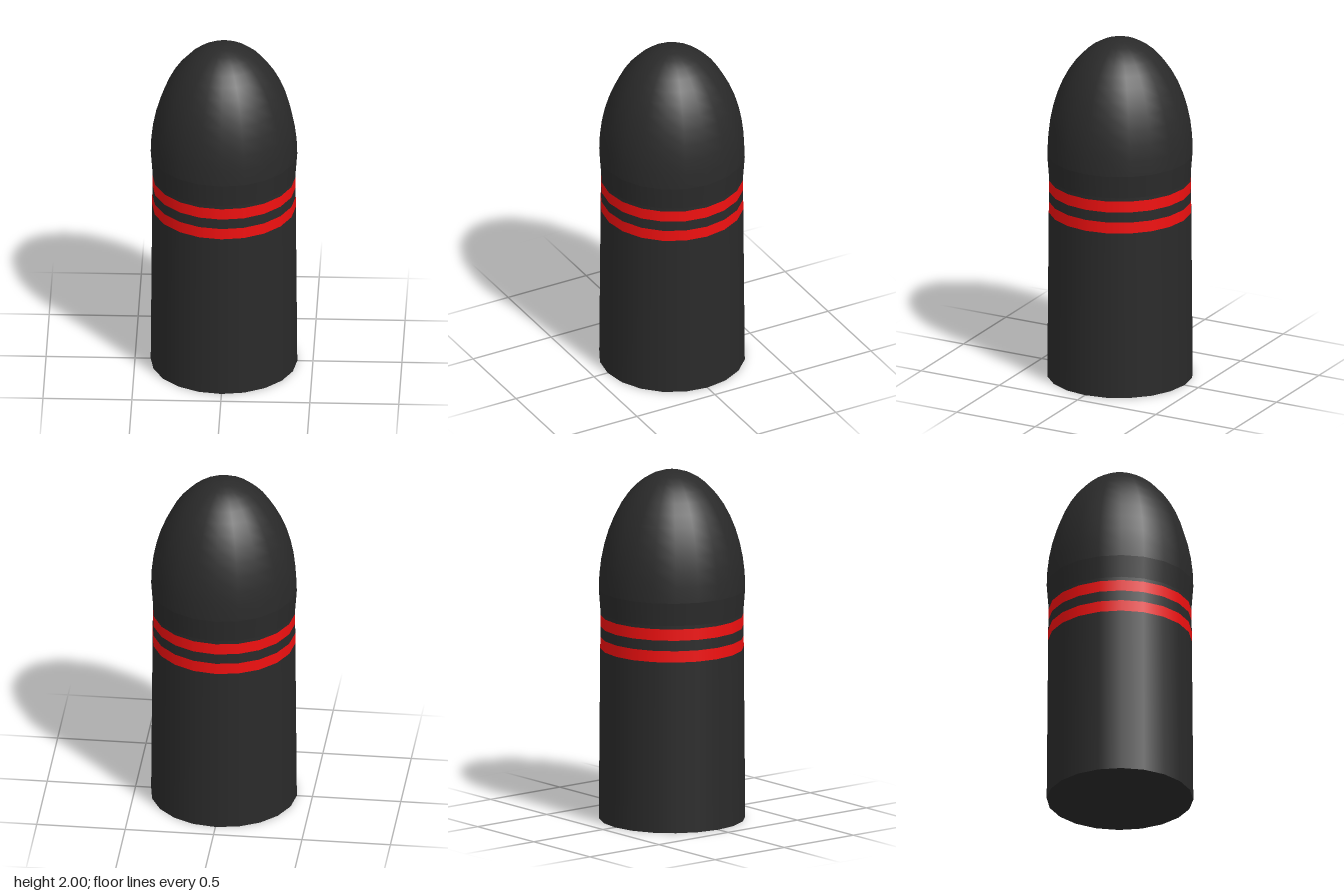
import * as THREE from 'three';

const SIDES = 20;
const BASE_R = 0.412, NECK_R = 0.402, NOSE_R = 0.412;
const NECK_Y = 1.19, NOSE_Y = 1.32, TOP_Y = 2;

const black = new THREE.MeshStandardMaterial({ color: 0x2a2a2a });
const red = new THREE.MeshStandardMaterial({ color: 0xf01010 });

// Radius of the gently tapering casing at a given height
const casingRadius = (y) => THREE.MathUtils.lerp(BASE_R, NECK_R, y / NECK_Y);

function turned(name, profile, material) {
  const points = profile.map(([r, y]) => new THREE.Vector2(r, y));
  const mesh = new THREE.Mesh(new THREE.LatheGeometry(points, SIDES), material);
  mesh.name = name;
  return mesh;
}

export function createModel() {
  const group = new THREE.Group();
  group.name = 'roundNosedCylinder';

  // Casing and its two flush red bands, stacked from the ground up
  const sections = [
    ['casing', 0, 0.98, black],
    ['lowerBand', 0.98, 1.045, red],
    ['bandGap', 1.045, 1.105, black],
    ['upperBand', 1.105, 1.17, red],
    ['neck', 1.17, NECK_Y, black],
  ];
  for (const [name, y0, y1, material] of sections) {
    group.add(turned(name, [[casingRadius(y0), y0], [casingRadius(y1), y1]], material));
  }

  // Collar flaring from the neck out to the nose
  group.add(turned('collar', [[NECK_R, NECK_Y], [NOSE_R, NOSE_Y]], black));

  // Half-ellipsoid nose
  const nose = [];
  const rings = 12;
  for (let i = 0; i <= rings; i++) {
    const a = (i / rings) * Math.PI / 2;
    nose.push([i === rings ? 0 : NOSE_R * Math.cos(a), NOSE_Y + (TOP_Y - NOSE_Y) * Math.sin(a)]);
  }
  group.add(turned('nose', nose, black));

  // Flat underside
  group.add(turned('base', [[0, 0], [BASE_R, 0]], black));

  return group;
}
